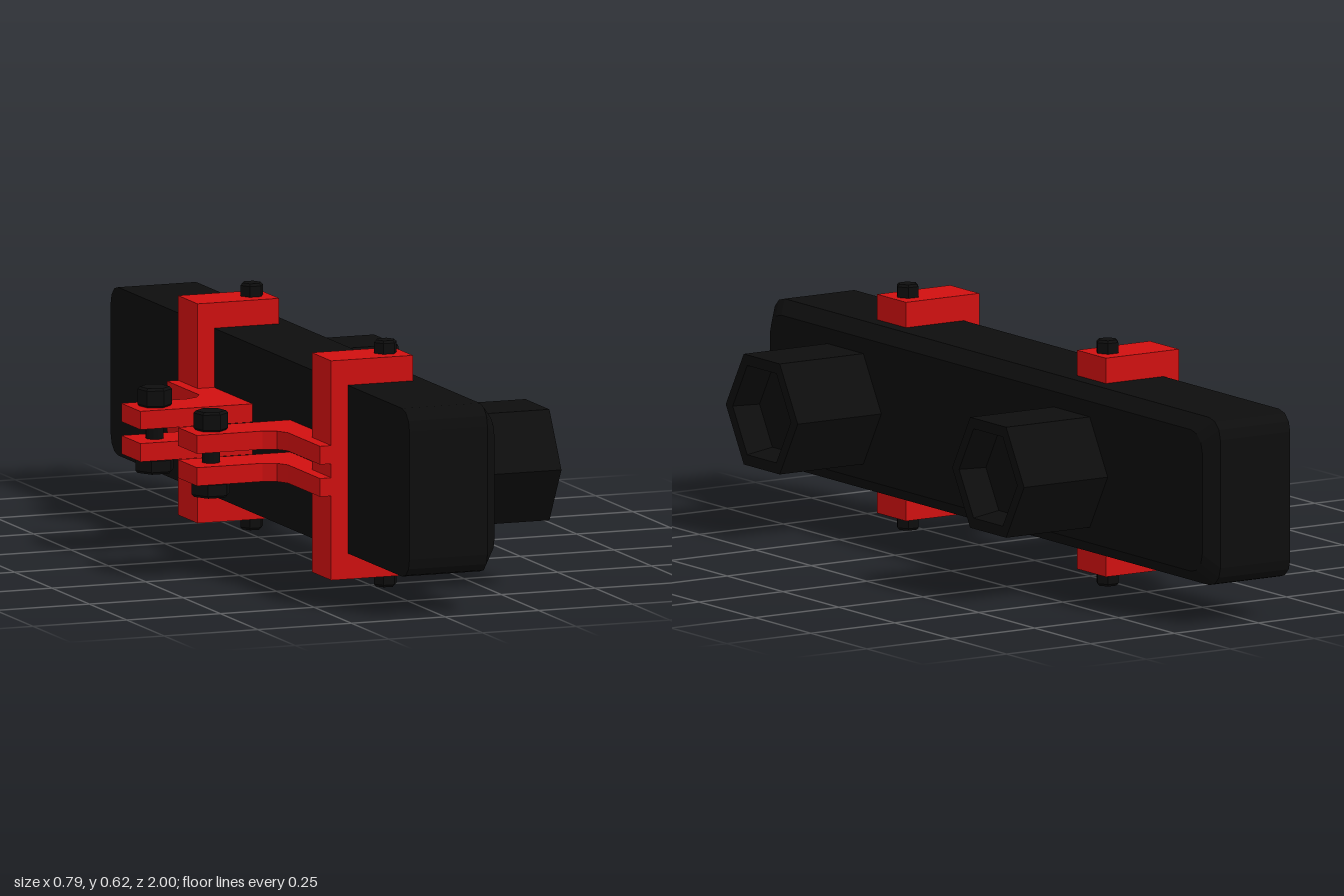
import * as THREE from 'three';
import { ConvexGeometry } from 'three/addons/geometries/ConvexGeometry.js';

const black = new THREE.MeshStandardMaterial({ color: 0x0d0d0d, flatShading: true });
const red = new THREE.MeshStandardMaterial({ color: 0xd01010, flatShading: true });
const MID_Y = 0.311;

function add(parent, name, geometry, material, x = 0, y = 0, z = 0) {
  const mesh = new THREE.Mesh(geometry, material);
  mesh.name = name;
  mesh.position.set(x, y, z);
  parent.add(mesh);
  return mesh;
}

const shapeOf = (pts) => new THREE.Shape(pts.map(([x, y]) => new THREE.Vector2(x, y)));
const extrude = (shape, depth) => new THREE.ExtrudeGeometry(shape, { depth, bevelEnabled: false });

// Rounded-rectangle loop in the yz plane at a given x
function barLoop(x, inset) {
  const r = 0.05, h = 0.2115 - inset, l = 1 - inset, pts = [];
  for (const sy of [-1, 1]) for (const sz of [-1, 1]) for (let i = 0; i <= 3; i++) {
    const a = (i / 3) * Math.PI / 2;
    pts.push(new THREE.Vector3(x, sy * (h - r + r * Math.sin(a)), sz * (l - r + r * Math.cos(a))));
  }
  return pts;
}

// Six-sided bolt end with a small chamfer at both rims
function hexHead(radius, height, turn) {
  const c = 0.006;
  const profile = [[0, 0], [radius - c, 0], [radius, c], [radius, height - c], [radius - c, height], [0, height]];
  return new THREE.LatheGeometry(profile.map(([x, y]) => new THREE.Vector2(x, y)), 6).rotateY(turn);
}

// Hexagonal pod with a recessed front
function pod() {
  const profile = [[0, 0], [0.161, 0], [0.161, 0.25], [0.13, 0.25], [0.115, 0.18], [0, 0.18]];
  return new THREE.LatheGeometry(profile.map(([x, y]) => new THREE.Vector2(x, y)), 6).rotateZ(-Math.PI / 2);
}

// Clamp, hinge ears and bolts; s = 1 or -1 mirrors it along z
function bracket(s, name) {
  const g = new THREE.Group();
  g.name = name;
  g.position.z = 0.077;

  // C-shaped clamp around the bar
  const clamp = shapeOf([[-0.14, 0.035], [0.078, 0.035], [0.078, 0.1], [-0.095, 0.1],
    [-0.095, 0.523], [0.078, 0.523], [0.078, 0.587], [-0.14, 0.587]]);
  add(g, 'clamp', extrude(clamp, 0.13).translate(0, 0, -0.065), red, 0, 0, s * 0.447);

  // Pair of L-shaped ears
  const plan = [[-0.395, 0.125], [-0.096, 0.125], [-0.096, 0.512], [-0.17, 0.512],
    [-0.17, 0.298], [-0.187, 0.268], [-0.22, 0.253], [-0.395, 0.253]];
  const ear = extrude(shapeOf(plan.map(([x, z]) => [x, -s * z])), 0.046).rotateX(-Math.PI / 2);
  add(g, 'lowerEar', ear, red, 0, 0.247);
  add(g, 'upperEar', ear, red, 0, 0.328);

  // Hinge bolt through the ears
  const hx = -0.332, hz = s * 0.188;
  add(g, 'hingeBoltShaft', new THREE.CylinderGeometry(0.0225, 0.0225, 0.14, 12), black, hx, MID_Y, hz);
  add(g, 'hingeBoltHead', hexHead(0.043, 0.05, 0.2), black, hx, 0.373, hz);
  add(g, 'hingeNut', hexHead(0.051, 0.04, Math.PI / 6), black, hx, 0.208, hz);

  // Clamp screws above and below
  const screw = hexHead(0.03, 0.06, Math.PI / 6);
  add(g, 'lowerScrew', screw, black, 0.03, 0, s * 0.447);
  add(g, 'upperScrew', screw, black, 0.03, 0.56, s * 0.447);
  return g;
}

export function createModel() {
  const model = new THREE.Group();
  model.name = 'barWithBrackets';

  // Long bar, chamfered on its +x face
  const bar = new ConvexGeometry([...barLoop(-0.095, 0), ...barLoop(0.113, 0), ...barLoop(0.145, 0.033)]);
  add(model, 'bar', bar, black, 0, MID_Y, 0);

  // Two hexagonal pods
  add(model, 'frontPod', pod(), black, 0.144, MID_Y, 0.63);
  add(model, 'rearPod', pod(), black, 0.144, MID_Y, -0.383);

  model.add(bracket(1, 'frontBracket'), bracket(-1, 'rearBracket'));
  return model;
}
